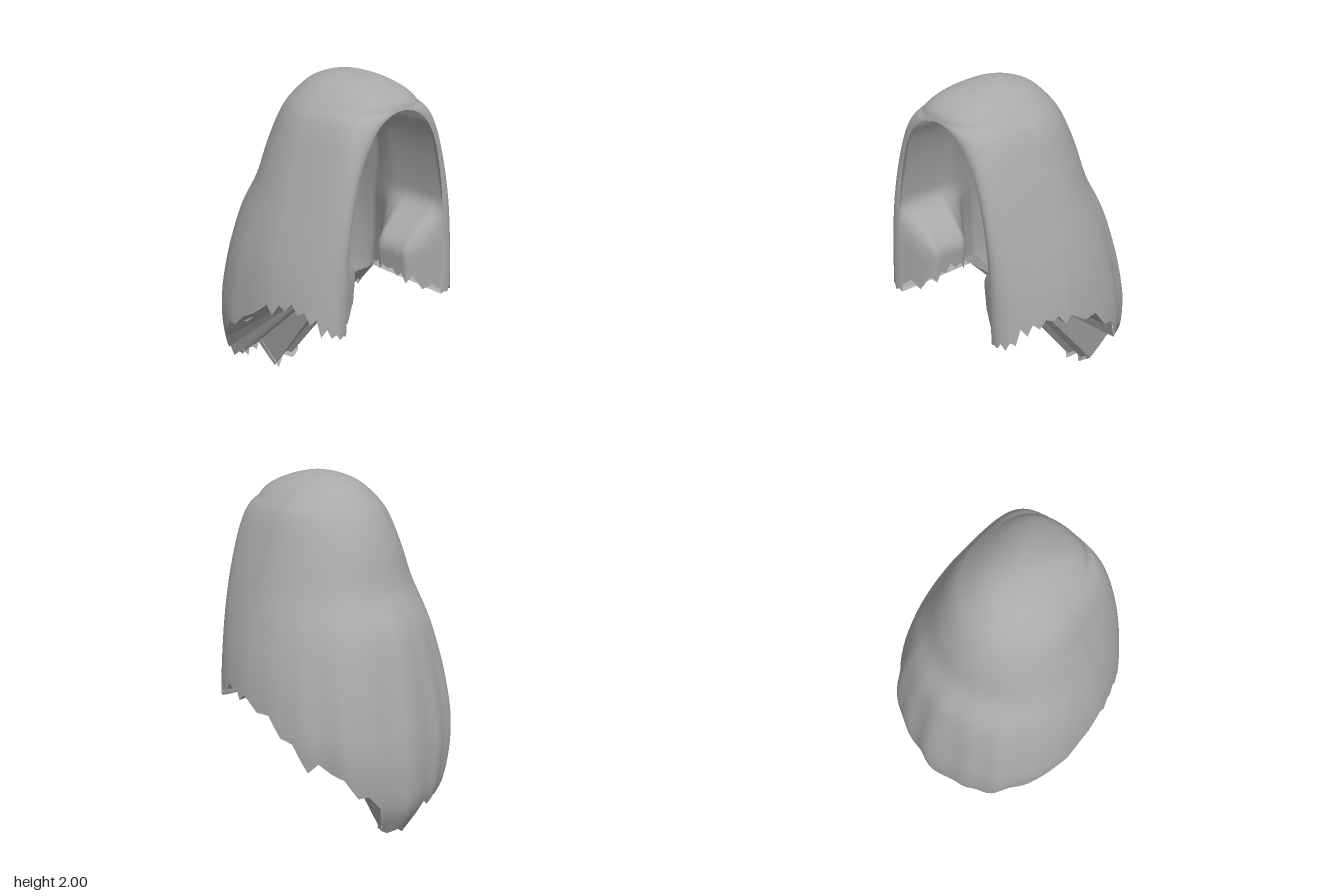
import * as THREE from 'three';

const { lerp, smoothstep, clamp } = THREE.MathUtils;

// Smooth curve through [y, value] knots; the root spacing keeps domes round at 'top'
function curve(top, pts) {
  const k = pts.map(([y, v]) => [Math.sqrt(Math.max(0, top - y)), v]);
  const slope = (i) => {
    const a = k[Math.max(0, i - 1)], b = k[Math.min(k.length - 1, i + 1)];
    return (b[1] - a[1]) / (b[0] - a[0]);
  };
  return (y) => {
    const t = Math.sqrt(Math.max(0, top - y));
    let i = 0;
    while (i < k.length - 2 && t > k[i + 1][0]) i++;
    const h = k[i + 1][0] - k[i][0];
    const s = clamp((t - k[i][0]) / h, 0, 1), s2 = s * s, s3 = s2 * s;
    return (2 * s3 - 3 * s2 + 1) * k[i][1] + (s3 - 2 * s2 + s) * h * slope(i)
      + (3 * s2 - 2 * s3) * k[i + 1][1] + (s3 - s2) * h * slope(i + 1);
  };
}

function linear(pts, x) {
  let i = 0;
  while (i < pts.length - 2 && x > pts[i + 1][0]) i++;
  const [a, b] = [pts[i], pts[i + 1]];
  return lerp(a[1], b[1], clamp((x - a[0]) / (b[0] - a[0]), 0, 1));
}

// Outline of the hair at each height
const RIM_TOP = 1.845, MID_Z = 0.2;
const halfWidth = curve(2, [[2, 0], [1.95, 0.17], [1.88, 0.258], [1.8, 0.327], [1.6, 0.41], [1.4, 0.478],
  [1.2, 0.54], [1, 0.588], [0.8, 0.615], [0.6, 0.625], [0.4, 0.59], [0.2, 0.52], [0, 0.45]]);
const backZ = curve(2, [[2, 0.2], [1.95, -0.02], [1.88, -0.105], [1.8, -0.17], [1.6, -0.262], [1.4, -0.325],
  [1.2, -0.43], [1, -0.485], [0.8, -0.525], [0.6, -0.555], [0.4, -0.565], [0.2, -0.54], [0, -0.43]]);
const frontZ = curve(2, [[2, 0.2], [1.96, 0.42], [1.9, 0.54], [1.845, 0.572], [1.5, 0.572], [0.6, 0.565]]);
const rim = curve(RIM_TOP, [[1.845, 0], [1.835, 0.07], [1.8, 0.148], [1.72, 0.225], [1.6, 0.284], [1.4, 0.337],
  [1.2, 0.364], [1, 0.372], [0.68, 0.385]]);

// Hem height by angle: 0 back, 90 side, 180 front rim
const hemLeft = [[0, 0.02], [19, 0.04], [22, 0.29], [34, 0.33], [40, 0.41], [48, 0.48], [58, 0.51], [62, 0.46],
  [65, 0.5], [67, 0.66], [82, 0.77], [100, 0.83], [118, 0.84], [135, 0.78], [150, 0.73], [180, 0.7]];
const hemRight = [[0, 0.02], [5, 0.14], [20, 0.16], [37, 0.2], [43, 0.35], [55, 0.38], [61, 0.54],
  [75, 0.65], [85, 0.77], [100, 0.83], [118, 0.84], [135, 0.78], [150, 0.73], [180, 0.7]];

const bezier = (a, b, c, d, t) => {
  const s = 1 - t;
  return s * s * s * a + 3 * s * s * t * b + 3 * s * t * t * c + t * t * t * d;
};

// Point on the hair: u runs from the right rim (-1) round the back (0) to the left rim (1)
function outerPoint(u, y) {
  const w = halfWidth(y), side = Math.sign(u), a = Math.abs(u) * Math.PI;
  if (a > Math.PI / 2) {
    // side panel turning a corner onto the flat front band, fuller over the crown
    const t = 2 * Math.abs(u) - 1;
    const r = y < RIM_TOP ? rim(y) : 0;
    const f = frontZ(y);
    const full = smoothstep(y, 1.2, 1.85);
    return new THREE.Vector3(
      side * bezier(w, w * 0.97, lerp(r, w, lerp(0.55, 0.76, full)), r, t), y,
      bezier(MID_Z, lerp(MID_Z, f, lerp(0.55, 0.68, full)), f + 0.05 * (1 - full), f, t));
  }
  // rounded back with strand waves growing toward the tips
  const wave = 1 + 0.011 * smoothstep(2 - y, 0.4, 1.3) * Math.cos(a)
    * (Math.sin(u * 34 + 1) + 0.8 * Math.sin(u * 61));
  const p = lerp(0.84, 0.97, smoothstep(y, 0.6, 1.5));
  return new THREE.Vector3(
    side * w * Math.pow(Math.sin(a), p) * wave, y,
    MID_Z + (backZ(y) - MID_Z) * Math.pow(Math.max(0, Math.cos(a)), p) * wave);
}

// Point on the lining: close behind the back hair, thicker at the sides, meeting the rim
function innerPoint(u, y) {
  const p = outerPoint(u, y), m = Math.abs(u), w = halfWidth(y);
  const inset = lerp(0.94, 1, smoothstep(m, 0.85, 1));
  const wall = Math.max(rim(y) + 0.05, 0.75 * w);
  // side locks curl inward at the bottom
  const curl = 0.25 * smoothstep(1.25 - y, 0, 0.3) * smoothstep(m, 0.42, 0.55) * (1 - smoothstep(m, 0.72, 0.92));
  const limit = lerp(w, wall, smoothstep(m, 0.25, 0.5)) - curl;
  p.x = Math.sign(u) * Math.min(Math.abs(p.x) * inset, limit);
  p.z = MID_Z + (p.z - MID_Z) * inset;
  return p;
}

// Surface from a grid of points
function sheet(cols, rows, point, flip) {
  const pos = [], index = [];
  for (let i = 0; i <= cols; i++) {
    for (let j = 0; j <= rows; j++) {
      pos.push(...point(i, j / rows).toArray());
      if (i === cols || j === rows) continue;
      const a = i * (rows + 1) + j, b = a + 1, c = a + rows + 1, d = c + 1;
      if (flip) index.push(a, b, c, b, d, c);
      else index.push(a, c, b, b, c, d);
    }
  }
  const g = new THREE.BufferGeometry();
  g.setAttribute('position', new THREE.Float32BufferAttribute(pos, 3));
  g.setIndex(index);
  g.computeVertexNormals();
  return g;
}

export function createModel() {
  const group = new THREE.Group();
  const hairGrey = new THREE.MeshStandardMaterial({ color: 0xaaaaaa, side: THREE.DoubleSide });
  hairGrey.name = 'hairGrey';
  const add = (name, geometry) => {
    const mesh = new THREE.Mesh(geometry, hairGrey);
    mesh.name = name;
    group.add(mesh);
  };

  const COLS = 180, STEP = 3;
  const uAt = (i) => (2 * i) / COLS - 1;

  // Ragged hem: one random tip every few columns
  let seed = 7;
  const random = () => (seed = (seed * 16807) % 2147483647) / 2147483647;
  const tips = Array.from({ length: COLS / STEP + 1 }, (_, k) => {
    const u = uAt(k * STEP);
    const jag = ((k % 2 ? 0.035 : -0.02) + (random() - 0.5) * 0.05) * (1 - smoothstep(Math.abs(u), 0.85, 1));
    return Math.max(0, linear(u < 0 ? hemRight : hemLeft, Math.abs(u) * 180) + jag);
  });
  tips[COLS / STEP / 2] = 0;
  const hemAt = (i) => {
    const k = Math.floor(i / STEP), f = (i % STEP) / STEP;
    return f ? lerp(tips[k], tips[k + 1], f) : tips[k];
  };

  // Long outer hair
  add('outerHair', sheet(COLS, 100, (i, v) => outerPoint(uAt(i), 2 - (2 - hemAt(i)) * v ** 1.8), false));

  // Lining behind the face opening, closed along a ceiling line
  add('innerLining', sheet(COLS, 60, (i, v) => {
    const u = uAt(i), f = smoothstep(Math.abs(u), 0.5, 1);
    const top = lerp(1.94, RIM_TOP, f);
    if (v === 0) return new THREE.Vector3(0, top, lerp(MID_Z, frontZ(RIM_TOP), f));
    return innerPoint(u, top - (top - hemAt(i)) * v ** 1.8);
  }, true));

  // Faceted underside fanning from a short edge at the neck to the ragged tips
  const underside = sheet(COLS / STEP, 1, (k, v) => {
    const p = outerPoint(uAt(k * STEP), tips[k]);
    return v === 0 ? p : new THREE.Vector3(clamp(p.x, -0.21, 0.21), 0.82, MID_Z);
  }, false).toNonIndexed();
  underside.computeVertexNormals();
  add('underside', underside);

  return group;
}
